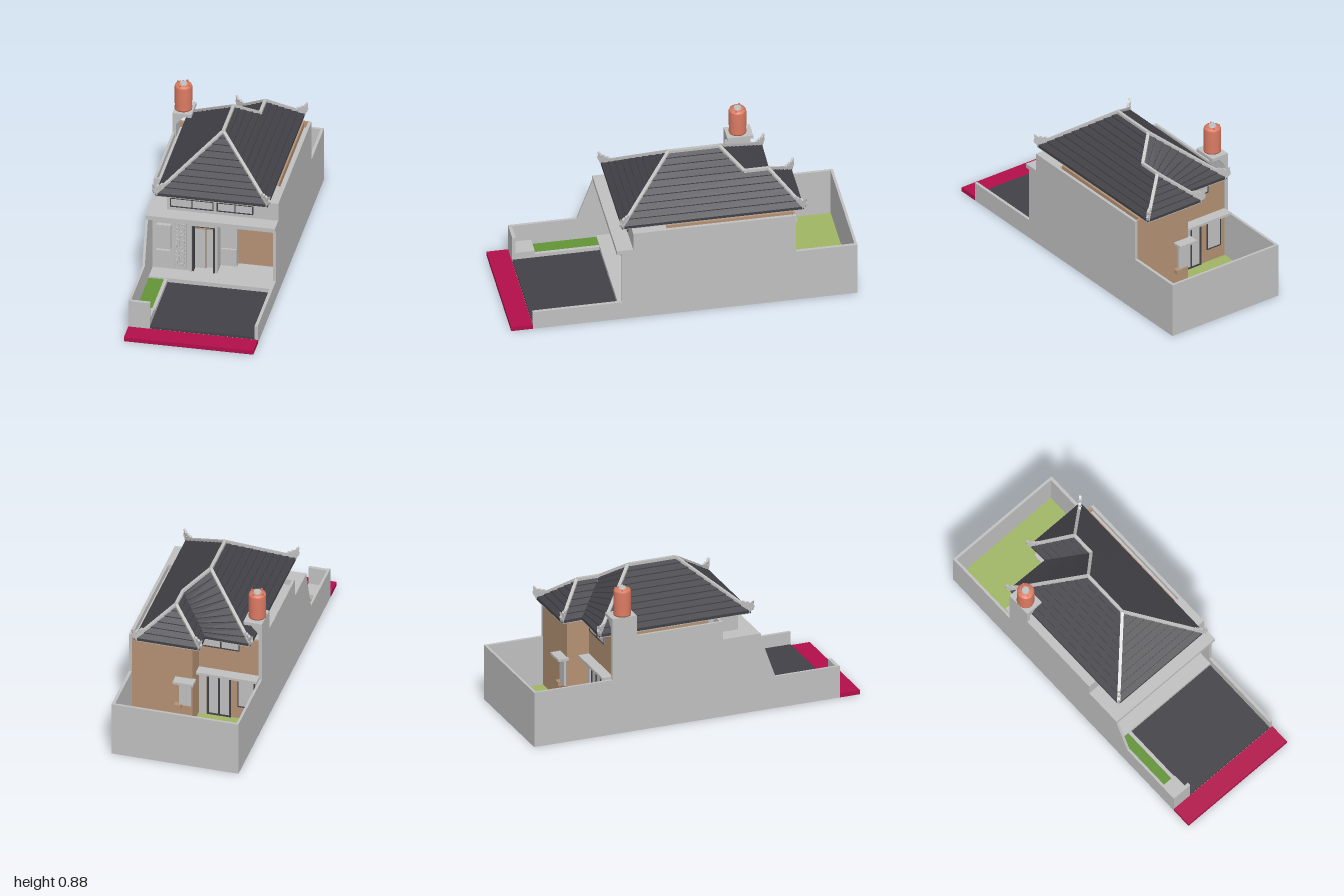
import * as THREE from 'three';

const mat = (name, color) => new THREE.MeshStandardMaterial({ name, color });

export function createModel() {
  const root = new THREE.Group();
  const gray = mat('plaster gray', 0xc0c0c0), dark = mat('slate', 0x424147), tan = mat('tan wall', 0xb49173);
  const red = mat('crimson road', 0xb20f4a), green = mat('lawn', 0x639437), pale = mat('pale lawn', 0xa0b564);
  const clay = mat('clay tank', 0xdb7a62);
  const V3 = (x, y, z) => new THREE.Vector3(x, y, z);

  const add = (name, geo, m, parent = root) => {
    const mesh = new THREE.Mesh(geo, m);
    mesh.name = name;
    parent.add(mesh);
    return mesh;
  };
  // box given by its limits
  const box = (name, m, x0, x1, y0, y1, z0, z1, parent = root) => {
    const b = add(name, new THREE.BoxGeometry(x1 - x0, y1 - y0, z1 - z0), m, parent);
    b.position.set((x0 + x1) / 2, (y0 + y1) / 2, (z0 + z1) / 2);
    return b;
  };
  const shape = pts => new THREE.Shape(pts.map(p => new THREE.Vector2(p[0], p[1])));
  const extrude = (s, depth) => new THREE.ExtrudeGeometry(s, { depth, bevelEnabled: false });
  // wall with a (z, y) outline, outer face at xMax
  const sideWall = (name, pts, xMax, t) => {
    const g = extrude(shape(pts), t);
    g.rotateY(-Math.PI / 2);
    add(name, g, gray).position.x = xMax;
  };
  // square bar between two points
  const bar = (name, m, a, b, w, h, parent) => {
    const mesh = add(name, new THREE.BoxGeometry(w, h, a.distanceTo(b)), m, parent);
    mesh.position.copy(a).lerp(b, 0.5);
    mesh.lookAt(b);
  };
  // framed panes on a wall; s = +1 faces front, -1 faces back
  const windowRow = (name, x0, x1, y0, y1, z, panes, s = 1, f = 0.005) => {
    const g = new THREE.Group();
    g.name = name;
    root.add(g);
    const zz = d => (s > 0 ? [z, z + d] : [z - d, z]);
    box('glass', gray, x0, x1, y0, y1, ...zz(0.003), g);
    box('frameTop', dark, x0, x1, y1 - f, y1, ...zz(0.008), g);
    box('frameBottom', dark, x0, x1, y0, y0 + f, ...zz(0.008), g);
    for (let i = 0; i <= panes; i++) {
      const x = x0 + f / 2 + (x1 - x0 - f) * i / panes;
      box('mullion', dark, x - f / 2, x + f / 2, y0, y1, ...zz(0.008), g);
    }
  };

  // Ground
  box('baseSlab', gray, -0.36, 0.36, 0, 0.025, -0.985, 0.875);
  box('road', red, -0.375, 0.375, 0, 0.025, 0.875, 1);
  box('carportFloor', dark, -0.25, 0.355, 0.025, 0.04, 0.3, 0.874);
  box('porchFloor', gray, -0.36, 0.36, 0.025, 0.065, 0.1, 0.37);
  box('backLawn', pale, -0.36, 0.36, 0.025, 0.04, -0.985, -0.5);
  box('frontLawn', green, -0.36, -0.268, 0.025, 0.055, 0.37, 0.745);
  box('planterCurb', gray, -0.27, -0.25, 0.025, 0.062, 0.37, 0.76);
  box('planterEnd', gray, -0.36, -0.25, 0.025, 0.085, 0.745, 0.86);
  box('frontWall', gray, -0.36, -0.25, 0.02, 0.192, 0.855, 0.875);

  // Boundary walls
  sideWall('rightBoundaryWall', [[-1, 0], [0.875, 0], [0.875, 0.195], [0.48, 0.195], [0.39, 0.45], [0.39, 0.475],
    [0.157, 0.475], [0.157, 0.585], [-0.52, 0.585], [-0.52, 0.335], [-1, 0.335]], -0.36, 0.015);
  sideWall('leftBoundaryWall', [[-1, 0], [0.875, 0], [0.875, 0.115], [0.36, 0.115], [0.36, 0.45], [0.39, 0.45],
    [0.39, 0.475], [0.295, 0.475], [0.295, 0.585], [-0.645, 0.585], [-0.645, 0.335], [-1, 0.335]], 0.375, 0.018);
  box('backBoundaryWall', gray, -0.36, 0.36, 0, 0.335, -1, -0.985);

  // House body, gutters and upper front wall
  box('mainBody', tan, -0.3, 0.335, 0.03, 0.586, -0.5, 0.1);
  box('mainBackWall', tan, -0.36, 0.01, 0.03, 0.585, -0.51, -0.495);
  box('wingBody', tan, 0, 0.335, 0.03, 0.586, -0.64, -0.49);
  box('wingBackWall', tan, 0, 0.358, 0.03, 0.585, -0.645, -0.63);
  box('rightGutter', gray, -0.36, -0.29, 0.45, 0.55, -0.495, 0.15);
  box('leftGutter', gray, 0.33, 0.36, 0.45, 0.55, -0.63, 0.28);
  box('canopy', gray, -0.374, 0.374, 0.448, 0.474, 0.09, 0.389);
  box('upperFrontWall', gray, -0.27, 0.36, 0.47, 0.585, 0.1, 0.295);
  box('upperCornerWall', gray, -0.36, -0.265, 0.47, 0.585, 0.142, 0.157);
  windowRow('upperWindowA', -0.25, 0, 0.498, 0.556, 0.295, 2);
  windowRow('upperWindowB', 0.02, 0.23, 0.498, 0.556, 0.295, 2);

  // Porch facade with door opening
  const facade = shape([[-0.36, 0.06], [0.015, 0.06], [0.015, 0.45], [-0.36, 0.45]]);
  facade.holes.push(new THREE.Path([[-0.13, 0.065], [0, 0.065], [0, 0.365], [-0.13, 0.365]].map(p => new THREE.Vector2(...p))));
  add('porchFacade', extrude(facade, 0.03), gray).position.z = 0.23;
  box('facadeReturn', gray, 0.002, 0.015, 0.06, 0.45, 0.1, 0.24);
  box('carportBackWall', tan, 0.014, 0.357, 0.06, 0.449, 0.1, 0.125);
  box('doorSurroundTop', gray, -0.145, 0.002, 0.367, 0.39, 0.255, 0.272);
  box('doorSurroundSide', gray, -0.145, -0.131, 0.06, 0.37, 0.255, 0.272);
  box('doorFrameTop', dark, -0.13, 0, 0.357, 0.365, 0.215, 0.265);
  for (const x of [-0.13, -0.008]) box('doorFrameSide', dark, x, x + 0.008, 0.065, 0.36, 0.215, 0.265);
  box('doorInnerWall', gray, -0.13, 0, 0.06, 0.37, 0.19, 0.205);
  box('doorLeaf', gray, -0.122, -0.064, 0.067, 0.322, 0.205, 0.222);
  box('doorTrimTop', tan, -0.122, -0.008, 0.322, 0.327, 0.205, 0.222);
  for (const x of [-0.063, -0.014]) box('doorTrimSide', tan, x, x + 0.005, 0.067, 0.322, 0.205, 0.222);
  box('sidePanel', gray, 0.014, 0.11, 0.065, 0.363, 0.12, 0.165);
  box('sidePanelCap', dark, 0.065, 0.112, 0.363, 0.367, 0.122, 0.16);
  box('sidePanelInset', gray, 0.022, 0.106, 0.082, 0.18, 0.16, 0.178);
  box('bayWindow', gray, -0.335, -0.25, 0.205, 0.36, 0.255, 0.285);
  for (const x of [-0.328, -0.284]) box('bayPane', gray, x, x + 0.03, 0.212, 0.352, 0.28, 0.288);
  box('baySill', gray, -0.335, -0.25, 0.192, 0.2, 0.255, 0.295);

  // Carved scroll panel
  const carved = new THREE.Group();
  carved.name = 'carvedPanel';
  root.add(carved);
  box('panelPlate', gray, -0.235, -0.165, 0.08, 0.385, 0.255, 0.275, carved);
  for (let i = 0; i < 11; i++) {
    for (const k of [0, 1]) {
      const s = (i + k) % 2 ? 1 : -1;
      const curl = add('scroll', new THREE.TorusGeometry(k ? 0.008 : 0.014, 0.003, 5, 14, 4.9), gray, carved);
      curl.position.set(-0.2 + s * (k ? 0.02 : 0.014), 0.1 + i * 0.0265, 0.276);
      curl.rotation.z = i * 1.7 + k;
    }
  }

  // Back openings and small canopies
  box('backCanopy', gray, -0.36, 0, 0.335, 0.35, -0.575, -0.505);
  box('wingCanopy', gray, -0.02, 0.1, 0.335, 0.35, -0.705, -0.64);
  box('wingWindow', gray, 0.005, 0.075, 0.17, 0.325, -0.66, -0.64);
  box('wingSill', tan, 0.06, 0.1, 0.15, 0.175, -0.675, -0.64);
  windowRow('backUpperWindow', -0.24, -0.02, 0.498, 0.556, -0.51, 2, -1);
  windowRow('backDoor', -0.19, -0.05, 0.04, 0.31, -0.51, 2, -1, 0.009);
  box('backDoorPost', gray, -0.045, -0.005, 0.04, 0.335, -0.525, -0.505);
  windowRow('backSideWindow', -0.33, -0.23, 0.12, 0.31, -0.51, 1, -1);

  // Roof corner points
  const y0 = 0.6, yr = 0.857, yw = 0.757;
  const A = V3(-0.325, y0, 0.35), B = V3(0.325, y0, 0.35), C = V3(0.325, y0, -0.7), D = V3(-0.06, y0, -0.7);
  const E = V3(-0.325, y0, -0.58), V = V3(-0.055, y0, -0.575);
  const F = V3(0, yr, 0.02), R = V3(0, yr, -0.27), W1 = V3(0.13, yw, -0.39), W2 = V3(0.13, yw, -0.53);
  const M = B.clone().lerp(F, (yw - y0) / (yr - y0));

  // Stepped tile courses; each slope is [eave start, eave end, top start, top end]
  const slopes = [[A, B, F, F], [B, C, M, W2], [M, W1, F, R], [C, D, W2, W2], [D, V, W2, W1], [V, E, W1, R], [E, A, R, F]];
  slopes[5][2] = W1;
  const pos = [];
  const quad = (a, b, c, d) => [a, b, c, a, c, d].forEach(p => pos.push(p.x, p.y, p.z));
  for (const [p0, p1, q0, q1] of slopes) {
    const rise = Math.max(q0.y - p0.y, q1.y - p1.y);
    const n = Math.round(rise / 0.0255);
    for (let i = 0; i < n; i++) {
      const at = (p, q, t) => p.clone().lerp(q, t / n);
      const l0 = at(p0, q0, i), l1 = at(p1, q1, i), u0 = at(p0, q0, i + 1), u1 = at(p1, q1, i + 1);
      const lift = V3(0, 0.006, 0), a = l0.clone().add(lift), b = l1.clone().add(lift);
      quad(l0, l1, b, a);
      quad(a, b, u1, u0);
    }
  }
  const tiles = new THREE.BufferGeometry();
  tiles.setAttribute('position', new THREE.Float32BufferAttribute(pos, 3));
  tiles.computeVertexNormals();
  add('roofTiles', tiles, dark);

  // Eave board and soffit
  const outline = shape([A, B, C, D, V, E].map(p => [p.x, p.z]));
  for (const [name, m, top, t] of [['eaveBoard', dark, y0, 0.011], ['soffit', gray, 0.589, 0.004]]) {
    add(name, extrude(outline, t).rotateX(Math.PI / 2), m).position.y = top;
  }

  // Ridge and hip caps
  for (const [a, b] of [[A, F], [B, F], [F, R], [R, E], [R, W1], [W1, W2], [W2, C], [W2, D]]) {
    bar('ridgeCap', gray, a, b, 0.018, 0.022, root);
  }

  // Curled corner finials, local +x pointing outwards
  const leaf = shape([[-0.06, 0.05], [-0.045, 0.056], [-0.035, 0.048], [-0.02, 0.056], [-0.005, 0.047], [0.004, 0.058],
    [0.018, 0.066], [0.014, 0.045], [0.02, 0.03], [0.012, 0.012], [-0.004, 0.002], [-0.05, 0.03]]);
  for (const [p, dx, dz] of [[A, -1, 1], [B, 1, 1], [C, 1, -1], [D, -1, -1], [E, -1, -1]]) {
    const f = new THREE.Group();
    f.name = 'cornerFinial';
    f.position.copy(p);
    f.rotation.y = Math.atan2(-dz, dx);
    root.add(f);
    add('leaf', extrude(leaf, 0.014), gray, f).position.z = -0.007;
    for (const [x, y, r] of [[0.004, 0.022, 0.011], [-0.018, 0.035, 0.009], [-0.038, 0.042, 0.007]]) {
      add('curl', new THREE.TorusGeometry(r, 0.004, 6, 12), gray, f).position.set(x, y, 0);
      const c = add('bud', new THREE.CylinderGeometry(r * 0.5, r * 0.5, 0.022, 8), gray, f);
      c.rotation.x = Math.PI / 2;
      c.position.set(x, y, 0);
    }
  }

  // Tank stand: column, bracket and shelf in one outline
  const stand = shape([[-0.375, 0.33], [-0.355, 0.33], [-0.355, 0.64], [-0.31, 0.69], [-0.265, 0.69], [-0.265, 0.71], [-0.375, 0.71]]);
  add('tankStand', extrude(stand, 0.15), gray).position.z = -0.52;

  // Water tank
  const tank = new THREE.Group();
  tank.name = 'waterTank';
  tank.position.set(-0.325, 0.71, -0.44);
  root.add(tank);
  const profile = [[0, 0], [0.05, 0], [0.051, 0.01], [0.049, 0.016], [0.05, 0.05], [0.05, 0.145], [0.046, 0.155], [0.03, 0.16], [0, 0.163]];
  add('tankBody', new THREE.LatheGeometry(profile.map(p => new THREE.Vector2(...p)), 24), clay, tank);
  add('tankLid', new THREE.CylinderGeometry(0.02, 0.024, 0.01, 16), gray, tank).position.y = 0.165;
  for (let i = 0; i < 4; i++) {
    const a = i * Math.PI / 2 + 0.4;
    const lug = add('tankLug', new THREE.BoxGeometry(0.01, 0.012, 0.008), clay, tank);
    lug.position.set(Math.cos(a) * 0.038, 0.16, Math.sin(a) * 0.038);
    lug.rotation.y = -a;
  }
  return root;
}
